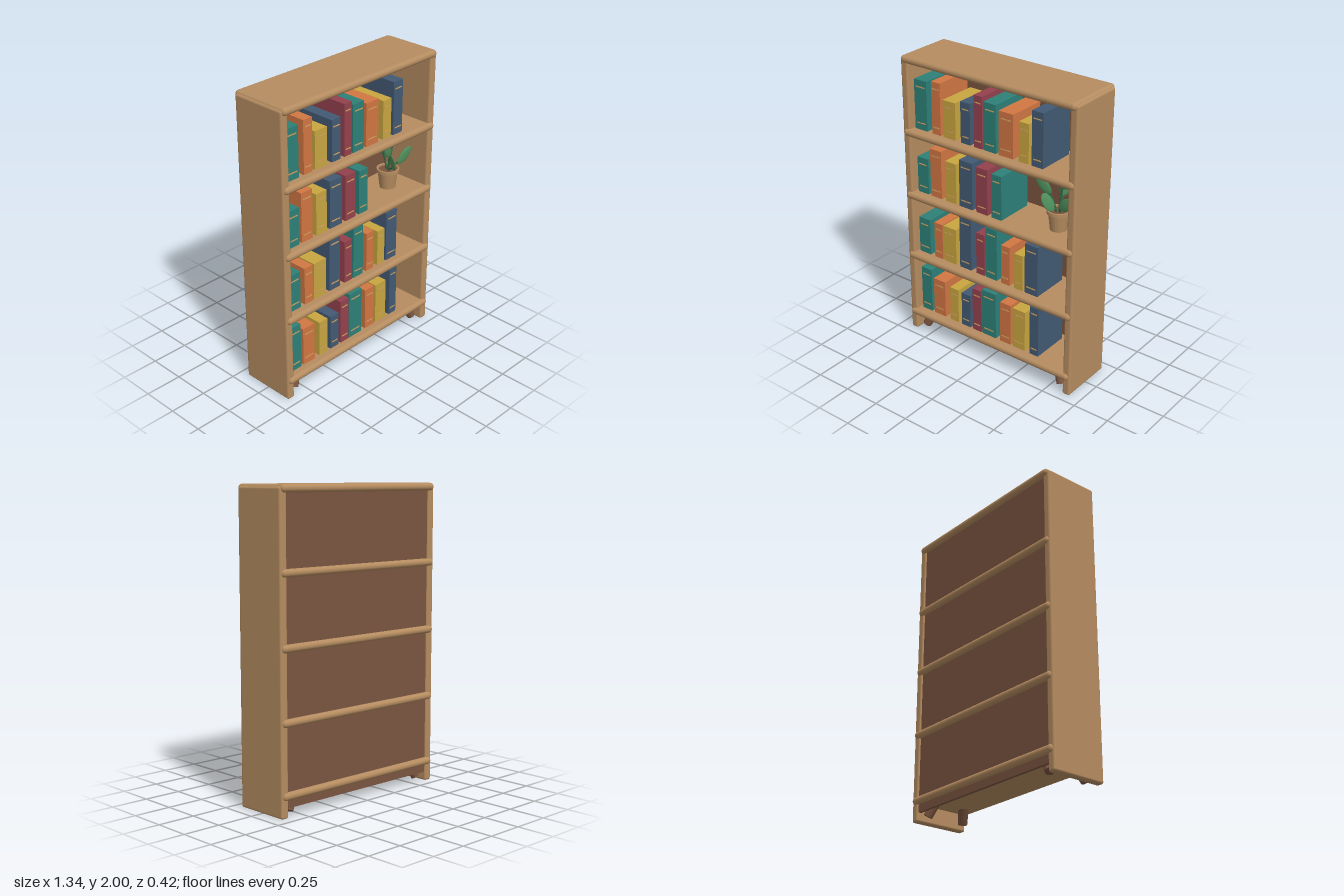
import * as THREE from 'three';
import { RoundedBoxGeometry } from 'three/addons/geometries/RoundedBoxGeometry.js';

const mat = (name, color) => {
  const m = new THREE.MeshStandardMaterial({ color });
  m.name = name;
  return m;
};

export function createModel() {
  const group = new THREE.Group();
  const wood = mat('wood', 0xb58c60);
  const darkWood = mat('darkWood', 0x7a5440);
  const gold = mat('gold', 0xcf9d5c);
  const leafGreen = mat('leafGreen', 0x4f8f5c);
  const stemGreen = mat('stemGreen', 0x3a6b45);
  const covers = [
    mat('teal', 0x2d8078), mat('orange', 0xd07642), mat('yellow', 0xc8a540),
    mat('navy', 0x425a74), mat('red', 0x93414e),
  ];

  const add = (name, geometry, material, x, y, z, parent = group) => {
    const mesh = new THREE.Mesh(geometry, material);
    mesh.name = name;
    mesh.position.set(x, y, z);
    parent.add(mesh);
    return mesh;
  };

  // Case: side panels, back panel and round-edged shelves
  for (const s of [-1, 1]) {
    add(s > 0 ? 'leftSide' : 'rightSide',
      new RoundedBoxGeometry(0.055, 1.985, 0.385, 3, 0.014), wood, s * 0.642, 0.9925, 0);
  }
  add('backPanel', new THREE.BoxGeometry(1.24, 1.91, 0.02), darkWood, 0, 1.015, -0.172);
  for (const y of [0.137, 0.585, 1.035, 1.482, 1.975]) {
    add('shelf', new RoundedBoxGeometry(1.32, 0.05, 0.42, 4, 0.0245), wood, 0, y, 0);
  }

  // Splayed feet under the bottom shelf
  const up = new THREE.Vector3(0, 1, 0);
  for (const sx of [-1, 1]) for (const sz of [-1, 1]) {
    const dir = new THREE.Vector3(-sx * 0.45, 1, -sz * 0.3).normalize();
    const foot = add('foot', new THREE.CylinderGeometry(0.034, 0.03, 0.11, 16), darkWood,
      sx * 0.55, 0.078, sz * 0.125);
    foot.quaternion.setFromUnitVectors(up, dir);
  }

  // Books: [centre x, width, height] per shelf, covers cycling through the colours
  const rows = [
    { y: 1.507, books: [[-0.55, 0.1, 0.335], [-0.424, 0.07, 0.35], [-0.317, 0.1, 0.25],
      [-0.188, 0.075, 0.275], [-0.087, 0.063, 0.344], [0.003, 0.095, 0.318],
      [0.127, 0.11, 0.29], [0.262, 0.074, 0.26], [0.362, 0.083, 0.355]] },
    { y: 1.06, books: [[-0.55, 0.09, 0.25], [-0.44, 0.092, 0.335], [-0.317, 0.09, 0.282],
      [-0.193, 0.105, 0.325], [-0.064, 0.09, 0.314], [0.053, 0.078, 0.302]] },
    { y: 0.61, books: [[-0.553, 0.095, 0.258], [-0.434, 0.07, 0.258], [-0.336, 0.105, 0.258],
      [-0.204, 0.095, 0.377], [-0.08, 0.068, 0.298], [0.01, 0.09, 0.365],
      [0.122, 0.068, 0.277], [0.227, 0.068, 0.252], [0.327, 0.1, 0.352]] },
    { y: 0.162, books: [[-0.553, 0.085, 0.323], [-0.44, 0.1, 0.27], [-0.31, 0.073, 0.252],
      [-0.208, 0.074, 0.246], [-0.114, 0.073, 0.316], [-0.013, 0.115, 0.336],
      [0.124, 0.085, 0.299], [0.233, 0.1, 0.293], [0.355, 0.068, 0.358]] },
  ];
  for (const { y, books } of rows) {
    books.forEach(([x, w, h], i) => {
      const book = new THREE.Group();
      book.name = 'book';
      book.position.set(x, y, 0);
      group.add(book);
      add('cover', new THREE.BoxGeometry(w, h, 0.27), covers[i % 5], 0, h / 2, 0.015, book);
      // Thin bands on the spine
      for (const by of [0.046, h - 0.046]) {
        add('spineBand', new THREE.BoxGeometry(w * 0.7, 0.007, 0.004), gold, 0, by, 0.151, book);
      }
    });
  }

  // Potted plant on the third shelf
  const plant = new THREE.Group();
  plant.name = 'plant';
  plant.position.set(0.432, 1.06, 0.015);
  group.add(plant);
  const potProfile = [[0, 0], [0.053, 0], [0.066, 0.112], [0.075, 0.112], [0.075, 0.134],
    [0.064, 0.134], [0.062, 0.118], [0, 0.118]].map(([x, y]) => new THREE.Vector2(x, y));
  const potGeometry = new THREE.LatheGeometry(potProfile, 24).toNonIndexed();
  potGeometry.computeVertexNormals();
  add('pot', potGeometry, wood, 0, 0, 0, plant);
  add('soil', new THREE.CylinderGeometry(0.062, 0.062, 0.006, 24), darkWood, 0, 0.12, 0, plant);

  // Leaves: centre, growing direction and face direction
  const leaves = [
    [[-0.072, 0.3, 0.06], [-0.6, 0.8, 0.2], [0.1, 0.1, 1]],
    [[0.092, 0.215, 0.06], [0.7, 0.65, 0.1], [0.1, 0.2, 1]],
    [[0.065, 0.345, 0.01], [0.6, 0.8, 0], [-0.2, 0.2, 1]],
    [[-0.033, 0.2, 0.07], [-0.4, 0.9, 0.3], [0.9, 0.2, 0.4]],
    [[0.012, 0.27, -0.07], [0.15, 0.9, -0.4], [0.9, 0, 0.4]],
    [[-0.03, 0.345, -0.06], [-0.3, 0.9, -0.3], [0.3, 0.2, 0.9]],
  ];
  for (const [c, d, f] of leaves) {
    const centre = new THREE.Vector3(...c);
    const dir = new THREE.Vector3(...d).normalize();
    const side = dir.clone().cross(new THREE.Vector3(...f)).normalize();
    const face = side.clone().cross(dir);
    const leaf = add('leaf', new THREE.SphereGeometry(1, 16, 12), leafGreen, ...c, plant);
    leaf.scale.set(0.036, 0.068, 0.009);
    leaf.quaternion.setFromRotationMatrix(new THREE.Matrix4().makeBasis(side, dir, face));
    const end = centre.clone().addScaledVector(dir, -0.055);
    const curve = new THREE.QuadraticBezierCurve3(
      new THREE.Vector3(c[0] * 0.15, 0.115, c[2] * 0.15),
      new THREE.Vector3(end.x * 0.5, (0.13 + end.y) / 2 + 0.01, end.z * 0.5), end);
    add('stem', new THREE.TubeGeometry(curve, 8, 0.006, 6), stemGreen, 0, 0, 0, plant);
  }
  return group;
}
